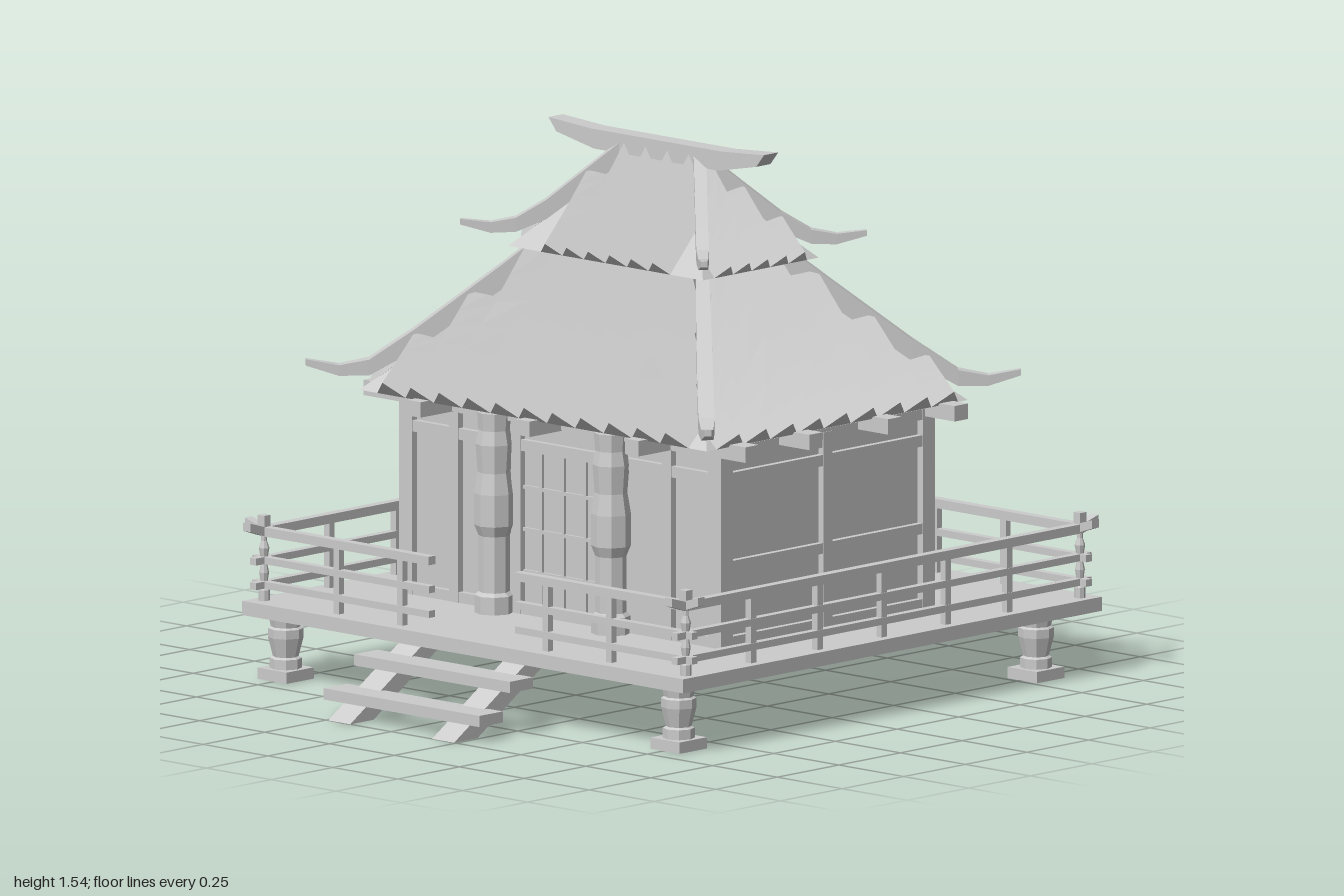
import * as THREE from 'three';

const mat = new THREE.MeshStandardMaterial({ color: 0xcccccc, flatShading: true });
const sheetMat = new THREE.MeshStandardMaterial({ color: 0xcccccc, flatShading: true, side: THREE.DoubleSide });
const ROOF_Z = -0.105, RIDGE = 0.14;

function add(parent, name, geo, x = 0, y = 0, z = 0, ry = 0, m = mat) {
  const mesh = new THREE.Mesh(geo, m);
  mesh.name = name;
  mesh.position.set(x, y, z);
  mesh.rotation.y = ry;
  parent.add(mesh);
  return mesh;
}
const box = (parent, name, w, h, d, x, y, z) => add(parent, name, new THREE.BoxGeometry(w, h, d), x, y, z);

// Skin a list of equal rings (counter-clockwise about the sweep direction) and cap both ends
function loft(rings) {
  const pos = [], n = rings[0].length;
  const tri = (a, b, c) => pos.push(...a, ...b, ...c);
  for (let r = 0; r < rings.length - 1; r++) {
    const a = rings[r], b = rings[r + 1];
    for (let i = 0; i < n; i++) {
      const j = (i + 1) % n;
      tri(a[i], a[j], b[j]);
      tri(a[i], b[j], b[i]);
    }
  }
  const s = rings[0], e = rings[rings.length - 1];
  for (let i = 1; i < n - 1; i++) {
    tri(s[0], s[i + 1], s[i]);
    tri(e[0], e[i], e[i + 1]);
  }
  const g = new THREE.BufferGeometry();
  g.setAttribute('position', new THREE.Float32BufferAttribute(pos, 3));
  g.computeVertexNormals();
  return g;
}

// Rectangular beam along +x; stations are [x, y, height, width]
const beam = stations => loft(stations.map(([x, y, h, w]) => [
  [x, y - h / 2, -w / 2], [x, y + h / 2, -w / 2], [x, y + h / 2, w / 2], [x, y - h / 2, w / 2]]));

// Height of a roof profile [[distance out, y], ...]
function heightAt(profile, d) {
  let i = 1;
  while (i < profile.length - 1 && d > profile[i][0]) i++;
  const [d0, y0] = profile[i - 1], [d1, y1] = profile[i];
  return y0 + (y1 - y0) * (d - d0) / (d1 - d0);
}

// One roof slope facing local +z: a base sheet mitred at the hips, with triangular tile ribs
function roofSlope(name, profile, half, count, pitch, ribH) {
  const g = new THREE.Group();
  g.name = name;
  const top = profile[0][0], eave = profile[profile.length - 1][0], steps = 6;
  const pos = [];
  for (let i = 0; i < profile.length - 1; i++) {
    const [a, ya] = profile[i], [b, yb] = profile[i + 1];
    const p = [[-half - a, ya, a], [half + a, ya, a], [half + b, yb, b], [-half - b, yb, b]];
    for (const k of [0, 3, 2, 0, 2, 1]) pos.push(...p[k]);
  }
  const sheet = new THREE.BufferGeometry();
  sheet.setAttribute('position', new THREE.Float32BufferAttribute(pos, 3));
  sheet.computeVertexNormals();
  add(g, 'roofSheet', sheet, 0, 0, 0, 0, sheetMat);
  for (let k = 0; k < count; k++) {
    const u = (k - (count - 1) / 2) * pitch;
    const rings = [];
    for (let s = 0; s <= steps; s++) {
      rings.push([-1, 1, 0].map(side => {
        const x = u + side * pitch / 2;
        const start = Math.min(eave - 0.01, Math.max(top, Math.abs(x) - half));
        const d = start + (eave - start) * s / steps;
        const lift = side === 0 ? ribH : 0;
        return [x, heightAt(profile, d) + 0.75 * lift, d + 0.66 * lift];
      }));
    }
    add(g, 'tileRib', loft(rings));
  }
  return g;
}

function roofTier(name, profile, ribH, pitch, frontCount, sidePitch, sideCount, hip) {
  const tier = new THREE.Group();
  tier.name = name;
  for (const s of [1, -1]) {
    const front = roofSlope('longSlope', profile, RIDGE, frontCount, pitch, ribH);
    front.rotation.y = s > 0 ? 0 : Math.PI;
    const side = roofSlope('endSlope', profile, 0, sideCount, sidePitch, ribH);
    side.rotation.y = s * Math.PI / 2;
    side.position.x = s * RIDGE;
    tier.add(front, side);
    // Upturned hip beams on the diagonals
    for (const t of [1, -1]) {
      const st = hip.map(([d, y, h, w]) => [d * Math.SQRT2, y, h, w]);
      add(tier, 'hipBeam', beam(st), s * RIDGE, 0, 0, Math.atan2(-t, s));
    }
  }
  tier.position.z = ROOF_Z;
  return tier;
}

// Raised timber frame on a wall facing local +z
function wallFrame(name, width, posts, rails, x, z, ry) {
  const g = new THREE.Group();
  g.name = name;
  for (const u of posts) box(g, 'wallPost', 0.035, 0.56, 0.03, u, 0.5, -0.015);
  for (const [y, h] of rails) box(g, 'wallRail', width, h, 0.026, 0, y, -0.015);
  g.position.set(x, 0, z);
  g.rotation.y = ry;
  return g;
}

// Three rails running along local x from a to b; upturned at the flagged ends
function railing(name, a, b, upA, posts, x, z, ry) {
  const g = new THREE.Group();
  g.name = name;
  const top = [[a, upA ? 0.437 : 0.418, 0.024, 0.028]];
  if (upA) top.push([a + 0.06, 0.418, 0.026, 0.028]);
  top.push([b - 0.06, 0.418, 0.026, 0.028], [b, 0.437, 0.024, 0.028]);
  add(g, 'topRail', beam(top));
  const a2 = upA ? a + 0.025 : a;
  for (const y of [0.336, 0.266]) box(g, 'lowerRail', b - 0.025 - a2, 0.02, 0.024, (a2 + b - 0.025) / 2, y, 0);
  for (const u of posts) box(g, 'baluster', 0.022, 0.19, 0.02, u, 0.315, 0);
  g.position.set(x, 0, z);
  g.rotation.y = ry;
  return g;
}

const turned = (pts, sides) => new THREE.LatheGeometry(pts.map(p => new THREE.Vector2(...p)), sides);

export function createModel() {
  const model = new THREE.Group();
  model.name = 'pavilion';

  // Platform on turned feet
  box(model, 'platform', 1.7, 0.04, 1.7, 0, 0.2, -0.14);
  const foot = turned([[0, 0.03], [0.045, 0.03], [0.045, 0.06], [0.036, 0.065], [0.05, 0.12], [0.05, 0.145], [0.042, 0.15], [0.048, 0.18], [0, 0.18]], 8);
  const newel = turned([[0, 0.22], [0.016, 0.22], [0.016, 0.25], [0.008, 0.26], [0.014, 0.3], [0.008, 0.33], [0.015, 0.37], [0.008, 0.39], [0.008, 0.43], [0, 0.43]], 8);
  for (const x of [-1, 1]) {
    for (const z of [0.63, -0.82]) {
      box(model, 'footBase', 0.112, 0.032, 0.112, x * 0.757, 0.016, z);
      add(model, 'foot', foot, x * 0.757, 0, z);
    }
    for (const z of [0.66, -0.94]) {
      add(model, 'cornerPost', newel, x * 0.812, 0, z);
      box(model, 'cornerPostCap', 0.026, 0.034, 0.026, x * 0.812, 0.446, z);
    }
  }

  // Railings, open at the front for the steps
  model.add(railing('frontRailingLeft', 0.165, 0.872, false, [0.28, 0.525], 0, 0.66, 0));
  const frontRight = railing('frontRailingRight', 0.165, 0.872, false, [0.28, 0.525], 0, 0.66, Math.PI);
  model.add(frontRight);
  model.add(railing('backRailing', -0.872, 0.872, true, [-0.525, -0.26, 0, 0.26, 0.525], 0, -0.94, 0));
  for (const s of [-1, 1])
    model.add(railing('sideRailing', -0.865, 0.865, true, [-0.53, -0.26, 0, 0.26, 0.51], s * 0.812, -0.135, Math.PI / 2));

  // Steps
  const side = new THREE.Shape([[-1, 0], [-0.905, 0], [-0.62, 0.18], [-0.715, 0.18]].map(p => new THREE.Vector2(...p)));
  const stringer = new THREE.ExtrudeGeometry(side, { depth: 0.085, bevelEnabled: false });
  for (const x of [-0.2, 0.2]) add(model, 'stepStringer', stringer, x + 0.0425, 0, 0, Math.PI / 2).scale.set(1, 1, 1);
  model.children.filter(c => c.name === 'stepStringer').forEach(c => c.position.x -= 0.085);
  model.children.filter(c => c.name === 'stepStringer').forEach(c => { c.rotation.y = Math.PI / 2; });
  box(model, 'upperTread', 0.6, 0.032, 0.095, 0, 0.142, 0.787);
  box(model, 'lowerTread', 0.6, 0.032, 0.095, 0, 0.062, 0.91);

  // House body with timber frames
  const bz = -0.12;
  box(model, 'houseWalls', 1.2, 0.58, 0.83, 0, 0.5, bz);
  for (const x of [-1, 1]) for (const z of [-1, 1])
    box(model, 'housePost', 0.05, 0.57, 0.05, x * 0.595, 0.505, bz + z * 0.41);
  const rails = [[0.235, 0.03], [0.45, 0.03], [0.7, 0.032], [0.775, 0.03]];
  model.add(wallFrame('frontFrame', 1.2, [-0.41, -0.17, 0.17, 0.41], [rails[0], rails[2], rails[3]], 0, 0.315, 0));
  model.add(wallFrame('backFrame', 1.2, [-0.2, 0.2], rails, 0, -0.555, Math.PI));
  for (const s of [-1, 1]) model.add(wallFrame('sideFrame', 0.83, [0], rails, s * 0.62, bz, s * Math.PI / 2));
  for (const x of [-0.085, 0, 0.085]) box(model, 'doorBar', 0.01, 0.46, 0.012, x, 0.46, 0.298);
  for (const y of [0.34, 0.46, 0.58]) box(model, 'doorBar', 0.34, 0.01, 0.012, 0, y, 0.298);

  // Porch columns
  const column = turned([[0, 0.22], [0.055, 0.22], [0.055, 0.27], [0.044, 0.28], [0.044, 0.44], [0.056, 0.47], [0.056, 0.56], [0.046, 0.62], [0.052, 0.7], [0.044, 0.74], [0.048, 0.79], [0, 0.79]], 8);
  for (const x of [-0.225, 0.225]) add(model, 'porchColumn', column, x, 0, 0.345);

  // Beams under the eaves
  for (const x of [-0.42, 0, 0.42]) box(model, 'eaveBeam', 0.052, 0.044, 1.12, x, 0.789, -0.095);
  for (const z of [0.31, 0.05, -0.27, -0.54]) box(model, 'crossBeam', 1.47, 0.044, 0.054, 0, 0.791, z);

  // Two-tier roof
  model.add(roofTier('lowerRoof', [[0.1, 1.27], [0.2, 1.15], [0.3, 1.035], [0.4, 0.93], [0.48, 0.852], [0.53, 0.805]],
    0.055, 0.109, 11, 0.109, 9,
    [[0.08, 1.31, 0.07, 0.03], [0.25, 1.125, 0.07, 0.04], [0.42, 0.95, 0.06, 0.045], [0.51, 0.872, 0.045, 0.045], [0.57, 0.863, 0.03, 0.035], [0.635, 0.885, 0.018, 0.02]]));
  model.add(roofTier('upperRoof', [[0, 1.48], [0.08, 1.38], [0.16, 1.29], [0.235, 1.212]],
    0.042, 0.083, 6, 0.075, 5,
    [[0, 1.495, 0.06, 0.035], [0.08, 1.405, 0.06, 0.035], [0.16, 1.318, 0.055, 0.035], [0.22, 1.275, 0.04, 0.035], [0.27, 1.267, 0.03, 0.028], [0.33, 1.283, 0.016, 0.018]]));

  // Ridge cap with flared ends
  const cap = new THREE.Shape([[-0.415, 1.545], [-0.385, 1.508], [-0.24, 1.478], [0.24, 1.478], [0.385, 1.508], [0.415, 1.545], [0.25, 1.534], [-0.25, 1.534]].map(p => new THREE.Vector2(...p)));
  add(model, 'ridgeCap', new THREE.ExtrudeGeometry(cap, { depth: 0.058, bevelEnabled: false }), 0, 0, ROOF_Z - 0.029);
  return model;
}
